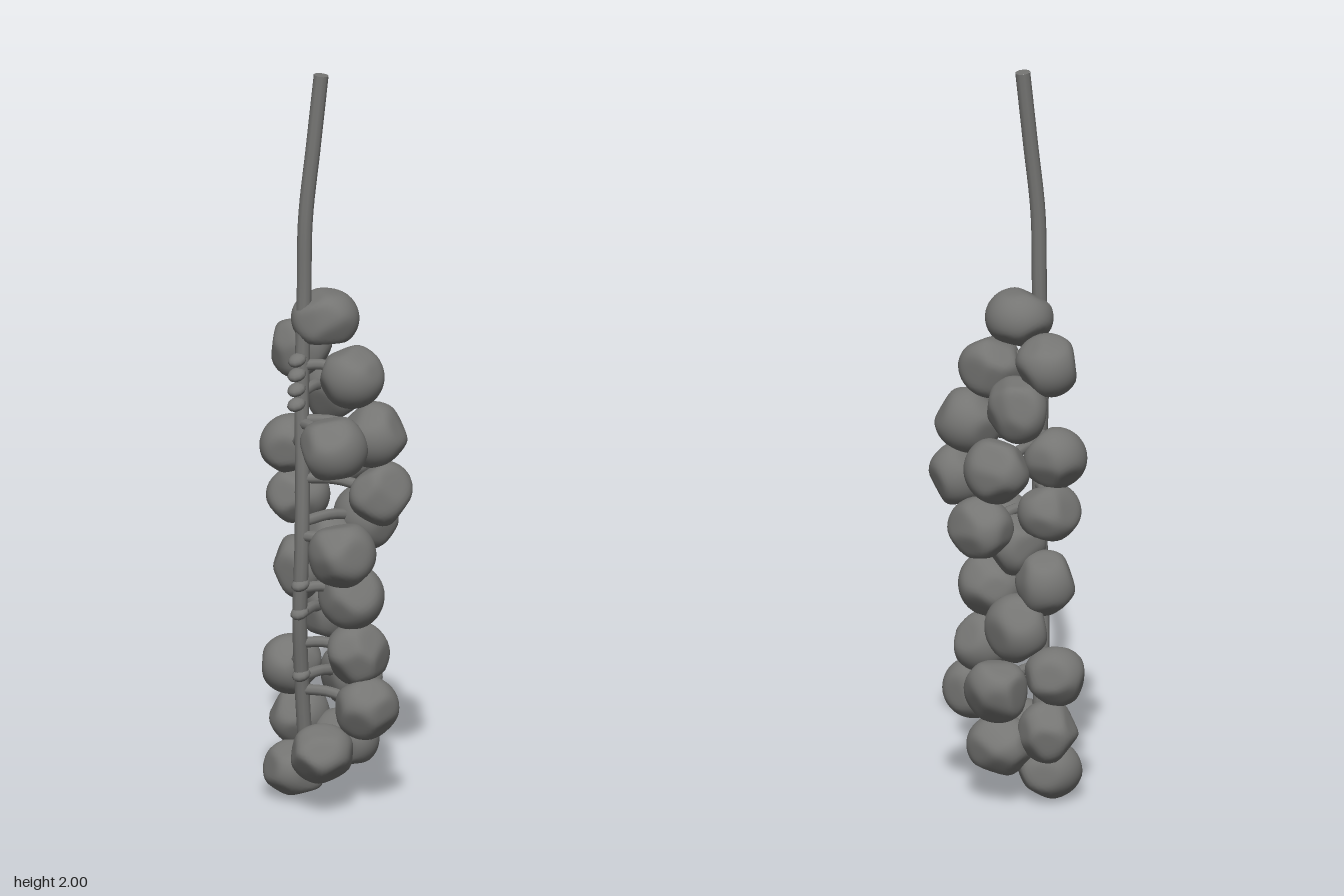
import * as THREE from 'three';
import { mergeVertices } from 'three/addons/utils/BufferGeometryUtils.js';

const v3 = (x, y, z) => new THREE.Vector3(x, y, z);

function seeded(seed) {
  let s = seed * 7919 + 17;
  return () => (s = (s * 16807) % 2147483647) / 2147483647;
}

// Lumpy berry: a sphere whose sides are softly pressed flat by seeded planes
function berryGeometry(seed, rx, ry, rz) {
  const rand = seeded(seed);
  for (let i = 0; i < 5; i++) rand();
  const planes = [];
  for (let i = 0; i < 12; i++) {
    const h = rand() * 2 - 1, a = rand() * Math.PI * 2, q = Math.sqrt(1 - h * h);
    planes.push({ n: v3(q * Math.cos(a), h, q * Math.sin(a)), d: 0.86 + rand() * 0.1 });
  }
  let geo = new THREE.IcosahedronGeometry(1, 7);
  geo.deleteAttribute('uv');
  geo.deleteAttribute('normal');
  geo = mergeVertices(geo, 1e-4);
  const pos = geo.attributes.position, v = v3(0, 0, 0);
  for (let i = 0; i < pos.count; i++) {
    v.fromBufferAttribute(pos, i).normalize();
    let sum = Math.pow(1.04, -24);
    for (const p of planes) {
      const c = v.dot(p.n);
      if (c > 0.05) sum += Math.pow(p.d / c, -24);
    }
    v.multiplyScalar(Math.pow(sum, -1 / 24));
    pos.setXYZ(i, v.x * rx, v.y * ry, v.z * rz);
  }
  geo.computeVertexNormals();
  return geo;
}

export function createModel() {
  const group = new THREE.Group();
  const grey = new THREE.MeshStandardMaterial({ color: 0x757573 });
  grey.name = 'fruit grey';
  const add = (name, geo, parent = group) => {
    const mesh = new THREE.Mesh(geo, grey);
    mesh.name = name;
    parent.add(mesh);
    return mesh;
  };

  // Main stem, bare above and bowed sideways through the cluster
  const stemRadius = 0.02;
  const stemCurve = new THREE.CatmullRomCurve3([
    v3(-0.022, 1.997, -0.022), v3(-0.042, 1.8, -0.031), v3(-0.06, 1.6, -0.042),
    v3(-0.062, 1.39, -0.045), v3(-0.075, 1.12, -0.04), v3(-0.09, 0.9, -0.02),
    v3(-0.102, 0.7, -0.01), v3(-0.1, 0.52, -0.02), v3(-0.075, 0.33, -0.04), v3(-0.055, 0.17, -0.05),
  ]);
  add('stem', new THREE.TubeGeometry(stemCurve, 60, stemRadius, 10));
  for (const t of [0, 1]) {
    const cap = add('stemEnd', new THREE.CircleGeometry(stemRadius, 10));
    const p = stemCurve.getPointAt(t);
    const dir = stemCurve.getTangentAt(t).multiplyScalar(t ? 1 : -1);
    cap.position.copy(p);
    cap.lookAt(p.clone().add(dir));
  }
  const samples = stemCurve.getSpacedPoints(200);
  const stemAt = (y) => samples.reduce((a, b) => (Math.abs(b.y - y) < Math.abs(a.y - y) ? b : a));

  // Berries: centre x, y, z and radii
  const berries = [
    [-0.005, 1.322, -0.025, 0.086, 0.078, 0.088],
    [0.015, 1.175, 0.055, 0.082, 0.083, 0.088],
    [0.005, 1.215, -0.135, 0.083, 0.083, 0.083],
    [0.073, 1.1, -0.085, 0.073, 0.09, 0.09],
    [-0.103, 1.015, 0.115, 0.09, 0.087, 0.088],
    [0.045, 1.02, 0.11, 0.086, 0.085, 0.092],
    [0.1, 0.925, -0.04, 0.077, 0.087, 0.09],
    [-0.025, 0.95, -0.135, 0.083, 0.08, 0.08],
    [0.045, 0.865, 0.14, 0.088, 0.085, 0.077],
    [0, 0.808, -0.137, 0.083, 0.077, 0.08],
    [0.113, 0.755, 0.005, 0.077, 0.085, 0.092],
    [-0.068, 0.712, 0.11, 0.09, 0.088, 0.085],
    [0.015, 0.57, 0.055, 0.082, 0.088, 0.088],
    [0.02, 0.7, -0.035, 0.075, 0.08, 0.08],
    [0.01, 0.61, -0.132, 0.083, 0.087, 0.083],
    [0.068, 0.49, -0.085, 0.077, 0.09, 0.09],
    [0.025, 0.41, 0.07, 0.088, 0.083, 0.081],
    [0.097, 0.315, -0.035, 0.077, 0.086, 0.09],
    [-0.025, 0.345, -0.135, 0.083, 0.077, 0.082],
    [0.015, 0.272, 0.115, 0.086, 0.081, 0.08],
    [0.005, 0.2, -0.138, 0.083, 0.081, 0.078],
    [0.06, 0.15, -0.02, 0.085, 0.08, 0.092],
    [-0.092, 0.155, 0.058, 0.088, 0.077, 0.083],
    [-0.048, 0.073, -0.09, 0.09, 0.076, 0.085],
  ];
  const cluster = new THREE.Group();
  cluster.name = 'berries';
  const pedicels = new THREE.Group();
  pedicels.name = 'pedicels';
  group.add(cluster, pedicels);

  berries.forEach(([x, y, z, rx, ry, rz], i) => {
    add('berry', berryGeometry(i + 3, rx, ry, rz), cluster).position.set(x, y, z);
    // Short curved stalk joining each berry to the stem
    const base = stemAt(y + 0.03), tip = v3(x, y, z);
    const mid = base.clone().lerp(tip, 0.45);
    mid.y += 0.015;
    const stalk = new THREE.CatmullRomCurve3([base, mid, tip]);
    add('pedicel', new THREE.TubeGeometry(stalk, 8, 0.015, 8), pedicels);
  });

  // Swollen nodes and stubs along the outer side of the stem
  for (const y of [1.22, 1.18, 1.14, 1.1, 0.61, 0.53, 0.35]) {
    const p = stemAt(y);
    const knob = add('stemNode', new THREE.SphereGeometry(0.022, 10, 8), pedicels);
    knob.position.set(p.x - (y > 1 ? 0.022 : 0.004), y, p.z + 0.004);
    knob.scale.set(1.2, 0.75, 1.1);
    knob.rotation.z = 0.35;
  }
  return group;
}
